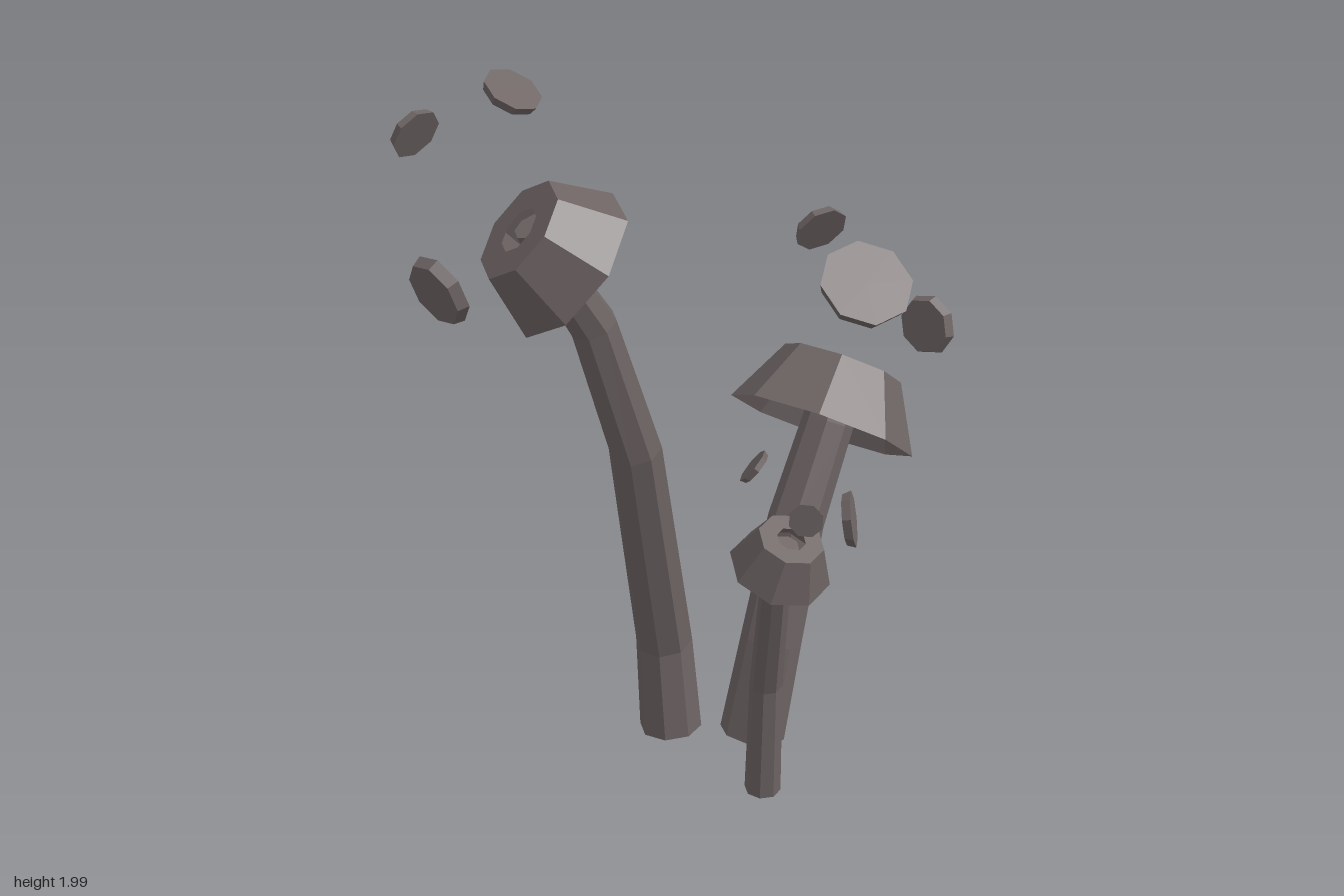
import * as THREE from 'three';

const SIDES = 8;
const UP = new THREE.Vector3(0, 1, 0);
const material = new THREE.MeshStandardMaterial({ color: 0x6e6464, flatShading: true });
const shellMaterial = new THREE.MeshStandardMaterial({ color: 0x6e6464, flatShading: true, side: THREE.DoubleSide });

// Tapered, bent stalk: one octagonal ring per path point, closed at both ends
function stem(path, r0, r1) {
  const pts = path.map((p) => new THREE.Vector3(...p));
  const n = pts.length, pos = [], idx = [];
  pts.forEach((p, i) => {
    const dir = pts[Math.min(i + 1, n - 1)].clone().sub(pts[Math.max(i - 1, 0)]).normalize();
    const q = new THREE.Quaternion().setFromUnitVectors(UP, dir);
    const r = THREE.MathUtils.lerp(r0, r1, i / (n - 1));
    for (let s = 0; s < SIDES; s++) {
      const a = ((s + 0.5) / SIDES) * Math.PI * 2;
      pos.push(...new THREE.Vector3(Math.sin(a) * r, 0, Math.cos(a) * r).applyQuaternion(q).add(p).toArray());
    }
  });
  for (let i = 0; i < n - 1; i++) {
    for (let s = 0; s < SIDES; s++) {
      const a = i * SIDES + s, b = i * SIDES + ((s + 1) % SIDES);
      idx.push(a, b, b + SIDES, a, b + SIDES, a + SIDES);
    }
  }
  const top = (n - 1) * SIDES;
  for (let s = 1; s < SIDES - 1; s++) idx.push(0, s + 1, s, top, top + s, top + s + 1);
  const geo = new THREE.BufferGeometry();
  geo.setAttribute('position', new THREE.Float32BufferAttribute(pos, 3));
  geo.setIndex(idx);
  geo.computeVertexNormals();
  const mesh = new THREE.Mesh(geo, material);
  mesh.name = 'stem';
  return mesh;
}

// Places a mesh with its local y along a direction
function aim(mesh, name, at, dir) {
  mesh.name = name;
  mesh.position.set(...at);
  mesh.quaternion.setFromUnitVectors(UP, new THREE.Vector3(...dir).normalize());
  return mesh;
}

// Hollow cap: flared wall and a flat top with a round opening; placed by its rim centre
function cap({ at, dir, rim, top, hole, height }) {
  const profile = [[rim, 0], [top, height], [hole, height]].map(([x, y]) => new THREE.Vector2(x, y));
  const geo = new THREE.LatheGeometry(profile, SIDES, Math.PI / SIDES);
  return aim(new THREE.Mesh(geo, shellMaterial), 'cap', at, dir);
}

// Floating octagonal chip
function chip([at, dir, r]) {
  const geo = new THREE.CylinderGeometry(r, r * 0.9, r * 0.32, SIDES);
  return aim(new THREE.Mesh(geo, material), 'floatingDisc', at, dir);
}

const MUSHROOMS = [
  {
    name: 'tallMushroom',
    path: [[-0.08, 0.012, -0.19], [-0.095, 0.28, -0.195], [-0.2, 0.94, -0.025], [-0.31, 1.31, 0.03], [-0.39, 1.45, 0.065], [-0.46, 1.6, 0.09]],
    radii: [0.084, 0.045],
    cap: { at: [-0.37, 1.485, 0.07], dir: [-0.75, 0.66, 0.08], rim: 0.2, top: 0.135, hole: 0.06, height: 0.16 },
    chips: [
      [[-0.51, 1.955, 0.175], [0.35, 0.87, 0.35], 0.07],
      [[-0.71, 1.81, -0.025], [0.5, -0.4, 0.77], 0.066],
      [[-0.695, 1.49, 0.17], [0.8, 0.3, -0.5], 0.09],
    ],
  },
  {
    name: 'wideMushroom',
    path: [[0.112, 0.045, -0.05], [0.17, 0.31, -0.08], [0.25, 0.62, -0.145], [0.355, 0.86, -0.225], [0.385, 0.94, -0.255]],
    radii: [0.087, 0.062],
    cap: { at: [0.335, 0.85, -0.22], dir: [0.43, 0.8, -0.4], rim: 0.25, top: 0.16, hole: 0.072, height: 0.174 },
    chips: [
      [[0.415, 1.275, -0.125], [0.05, 0.78, 0.62], 0.122],
      [[0.69, 1.0, -0.455], [0.78, -0.1, -0.58], 0.084],
      [[0.415, 1.27, -0.555], [0.22, -0.45, 0.86], 0.074],
    ],
  },
  {
    name: 'smallMushroom',
    path: [[0.08, 0.03, 0.19], [0.08, 0.36, 0.215], [0.07, 0.72, 0.335], [0.085, 0.84, 0.372]],
    radii: [0.047, 0.032],
    cap: { at: [0.077, 0.765, 0.348], dir: [0.17, 0.92, 0.35], rim: 0.127, top: 0.082, hole: 0.036, height: 0.105 },
    chips: [
      [[0, 1.07, 0.395], [-0.72, 0.62, -0.3], 0.046],
      [[0.08, 1.01, 0.567], [-0.35, 0.1, 0.93], 0.042],
      [[0.225, 0.92, 0.425], [0.93, 0.15, 0.32], 0.068],
    ],
  },
];

export function createModel() {
  const model = new THREE.Group();
  model.name = 'mushroomCluster';
  for (const m of MUSHROOMS) {
    const group = new THREE.Group();
    group.name = m.name;
    group.add(stem(m.path, ...m.radii), cap(m.cap), ...m.chips.map(chip));
    model.add(group);
  }
  return model;
}
